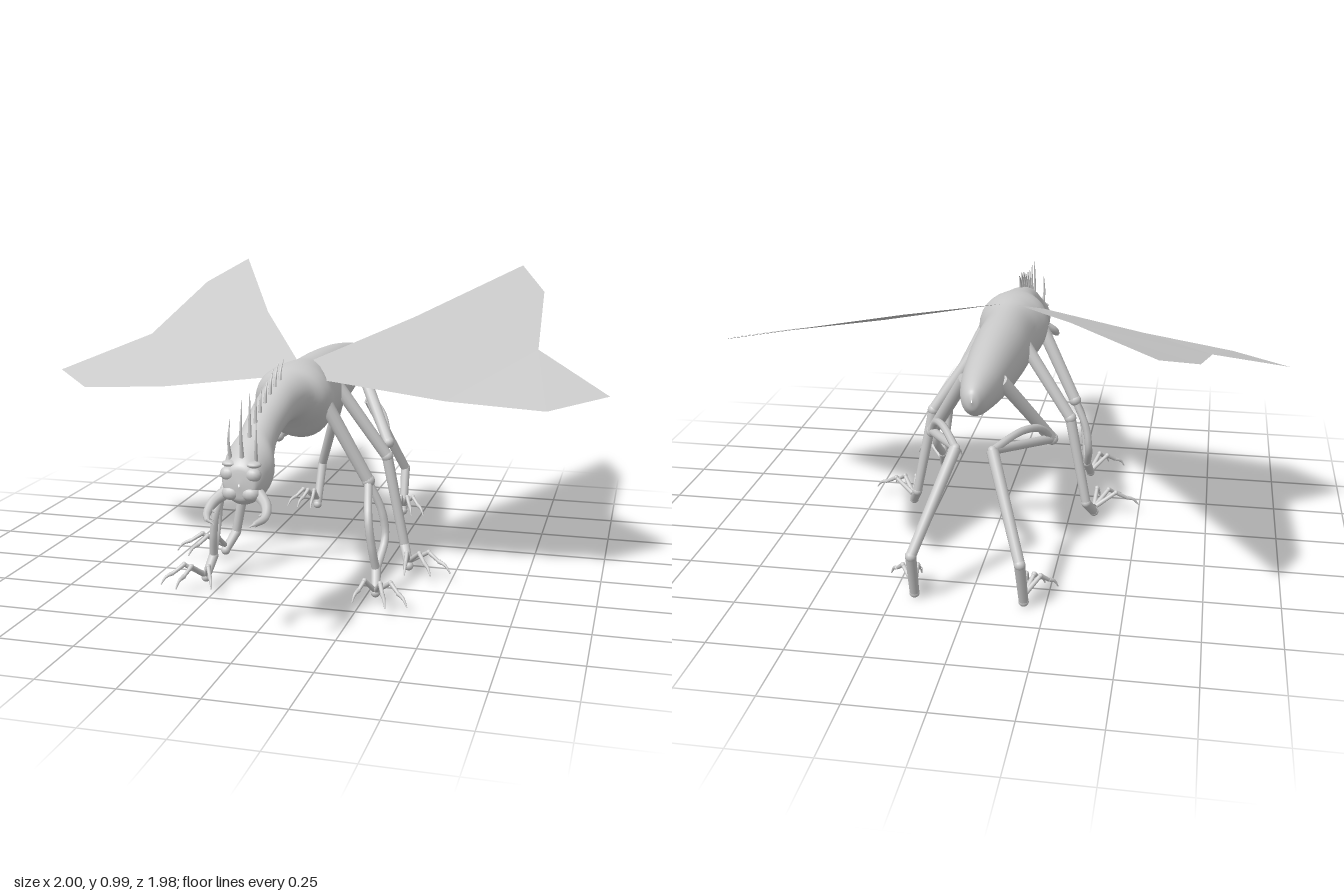
import * as THREE from 'three';

const grey = new THREE.MeshStandardMaterial({ color: 0xcccccc });
const thin = new THREE.MeshStandardMaterial({ color: 0xcccccc, side: THREE.DoubleSide, flatShading: true });
const V = (x, y, z) => new THREE.Vector3(x, y, z);

function add(parent, name, geometry, material = grey) {
  const mesh = new THREE.Mesh(geometry, material);
  mesh.name = name;
  parent.add(mesh);
  return mesh;
}

// Round bar between two points
function bar(parent, name, a, b, r0, r1 = r0) {
  const mesh = add(parent, name, new THREE.CylinderGeometry(r1, r0, a.distanceTo(b), 12));
  mesh.position.copy(a).add(b).multiplyScalar(0.5);
  mesh.quaternion.setFromUnitVectors(V(0, 1, 0), b.clone().sub(a).normalize());
}

function ball(parent, name, p, r, sx = 1, sy = 1, sz = 1) {
  const mesh = add(parent, name, new THREE.SphereGeometry(r, 14, 10));
  mesh.position.copy(p);
  mesh.scale.set(sx, sy, sz);
}

// Curved tube whose radius runs from r0 to r1
function taper(parent, name, points, r0, r1, segments = 10) {
  const curve = new THREE.CatmullRomCurve3(points), sides = 8;
  const geo = new THREE.TubeGeometry(curve, segments, 1, sides);
  const pos = geo.attributes.position, p = new THREE.Vector3();
  for (let i = 0; i < pos.count; i++) {
    const t = Math.floor(i / (sides + 1)) / segments, c = curve.getPointAt(t);
    p.fromBufferAttribute(pos, i).sub(c).multiplyScalar(r0 + (r1 - r0) * t).add(c);
    pos.setXYZ(i, p.x, p.y, p.z);
  }
  add(parent, name, geo);
}

// Smooth skin over elliptical sections: [z, top, bottom, half width]
function bodyGeometry(rows, steps = 90, sides = 32) {
  const mid = new THREE.CatmullRomCurve3(rows.map(r => V(r[0], (r[1] + r[2]) / 2, 0)), false, 'centripetal');
  const size = new THREE.CatmullRomCurve3(rows.map(r => V(r[0], (r[1] - r[2]) / 2, r[3])), false, 'centripetal');
  const pos = [], index = [];
  for (let i = 0; i <= steps; i++) {
    const c = mid.getPoint(i / steps), s = size.getPoint(i / steps);
    for (let j = 0; j < sides; j++) {
      const a = j / sides * Math.PI * 2;
      pos.push(Math.cos(a) * Math.max(s.z, 0.001), c.y + Math.sin(a) * Math.max(s.y, 0.001), c.x);
      if (i === steps) continue;
      const p = i * sides + j, q = i * sides + (j + 1) % sides;
      index.push(p, q, p + sides, q, q + sides, p + sides);
    }
  }
  const geo = new THREE.BufferGeometry();
  geo.setAttribute('position', new THREE.Float32BufferAttribute(pos, 3));
  geo.setIndex(index);
  geo.computeVertexNormals();
  return geo;
}

// Clawed toes: arched and ending in a hooked tip
function toes(parent, foot, spreads) {
  for (const [dx, dz] of spreads) {
    const at = (t, y) => V(foot.x + dx * t, y, foot.z + dz * t);
    const a = at(0.05, 0.05), b = at(0.48, 0.095), c = at(0.72, 0.07);
    bar(parent, 'toe', a, b, 0.009, 0.007);
    ball(parent, 'toeKnuckle', b, 0.009);
    bar(parent, 'toe', b, c, 0.008, 0.006);
    taper(parent, 'claw', [c, at(0.88, 0.06), at(1, 0.035)], 0.008, 0.002, 6);
  }
}

function leg(parent, name, joints, radii, spreads, s) {
  const g = new THREE.Group();
  g.name = name;
  parent.add(g);
  const p = joints.map(j => V(j[0] * s, j[1], j[2]));
  for (let i = 0; i < p.length - 1; i++) {
    if (radii[i]) bar(g, name + 'Segment', p[i], p[i + 1], radii[i], radii[i] * 0.88);
    ball(g, name + 'Joint', p[i + 1], (radii[i] || 0.018) * 0.95);
  }
  toes(g, p[p.length - 1], spreads.map(([x, z]) => [x * s, z]));
  return { g, p };
}

export function createModel() {
  const model = new THREE.Group();
  model.name = 'wingedCreature';

  // Abdomen, thorax, neck and head in one skin
  add(model, 'body', bodyGeometry([
    [-0.545, 0.675, 0.665, 0.002], [-0.535, 0.7, 0.635, 0.022], [-0.5, 0.718, 0.605, 0.042],
    [-0.4, 0.737, 0.582, 0.064], [-0.2, 0.76, 0.548, 0.085], [0, 0.77, 0.528, 0.098],
    [0.18, 0.773, 0.512, 0.102], [0.26, 0.778, 0.515, 0.118], [0.32, 0.778, 0.535, 0.13],
    [0.37, 0.774, 0.575, 0.118], [0.42, 0.766, 0.605, 0.085], [0.5, 0.752, 0.612, 0.066],
    [0.6, 0.726, 0.6, 0.06], [0.7, 0.69, 0.56, 0.056], [0.76, 0.66, 0.495, 0.062],
    [0.8, 0.638, 0.455, 0.076], [0.84, 0.615, 0.445, 0.07], [0.88, 0.59, 0.452, 0.06],
    [0.9, 0.565, 0.47, 0.045], [0.905, 0.52, 0.51, 0.002],
  ]));

  // Crest of backward-curving spines
  const crest = [[0.8, 0.635, 0.13], [0.745, 0.66, 0.1], [0.7, 0.685, 0.08], [0.65, 0.705, 0.07],
    [0.6, 0.722, 0.075], [0.55, 0.735, 0.075], [0.5, 0.747, 0.065]];
  crest.forEach(([z, y, h], i) => {
    const lean = 0.005 + i * 0.008;
    taper(model, 'spine', [V(0, y - 0.01, z), V(0, y + h * 0.55, z - lean * 0.35), V(0, y + h, z - lean)], 0.007, 0.001);
  });
  taper(model, 'browSpine', [V(0, 0.57, 0.87), V(0, 0.67, 0.882), V(0, 0.76, 0.868)], 0.008, 0.001);

  for (const s of [1, -1]) {
    // Face
    ball(model, 'eye', V(0.038 * s, 0.545, 0.887), 0.025, 1, 0.85, 0.8);
    ball(model, 'brow', V(0.036 * s, 0.573, 0.877), 0.02, 1.2, 0.5, 1);
    ball(model, 'cheek', V(0.03 * s, 0.488, 0.888), 0.028, 1, 0.8, 0.8);
    taper(model, 'headSpine', [V(0.038 * s, 0.57, 0.86), V(0.042 * s, 0.64, 0.87), V(0.04 * s, 0.7, 0.86)], 0.007, 0.001);

    // Mandible with inner teeth
    const jaw = [V(0.05 * s, 0.485, 0.875), V(0.08 * s, 0.46, 0.9), V(0.088 * s, 0.435, 0.935), V(0.07 * s, 0.425, 0.982)];
    taper(model, 'mandible', jaw, 0.02, 0.008, 16);
    [[0.086, 0.445, 0.92], [0.085, 0.432, 0.945], [0.075, 0.427, 0.97]].forEach(([x, y, z]) =>
      bar(model, 'mandibleTooth', V(x * s, y, z), V((x - 0.022) * s, y - 0.012, z + 0.006), 0.008, 0.001));

    // Wing: a fan of flat panels
    const rim = [[0.03, 0.77, 0.2], [0.28, 0.86, -0.28], [0.59, 0.99, -0.99], [0.7, 0.91, -0.77], [0.735, 0.765, -0.24],
      [1, 0.655, 0], [0.81, 0.635, 0.205], [0.49, 0.665, 0.27], [0.1, 0.725, 0.325]];
    const wing = new THREE.BufferGeometry();
    wing.setAttribute('position', new THREE.Float32BufferAttribute(rim.flatMap(([x, y, z]) => [x * s, y, z]), 3));
    wing.setIndex([0, 1, 4, 1, 2, 3, 1, 3, 4, 0, 4, 7, 4, 5, 6, 4, 6, 7, 0, 7, 8]
      .map((v, i, all) => s > 0 ? all[i - i % 3 + 2 - i % 3] : v));
    wing.computeVertexNormals();
    add(model, 'wing', wing, thin);

    // Front leg, its forearm split into two bowed bones
    const front = leg(model, 'frontLeg',
      [[0.1, 0.66, 0.33], [0.24, 0.385, 0.28], [0.285, 0.1, 0.35], [0.295, 0.04, 0.4]],
      [0.024, 0, 0.017], [[0.125, 0.1], [0.06, 0.13], [-0.055, 0.1]], s);
    for (const [x, z] of [[0.262, 0.372], [0.285, 0.268]])
      taper(front.g, 'forearmBone', [front.p[1], V(x * s, 0.28, z), V((x + 0.012) * s, 0.19, z + 0.002), front.p[2]], 0.014, 0.014, 14);

    // Middle leg
    leg(model, 'middleLeg',
      [[0.08, 0.66, 0.07], [0.25, 0.41, 0.03], [0.315, 0.085, 0.02], [0.34, 0.028, 0.07]],
      [0.023, 0.019, 0.018], [[0.16, 0.07], [0.1, 0.12], [0.01, 0.13]], s);

    // Rear leg, folded, with a second arched bone in the middle section
    const rear = leg(model, 'rearLeg',
      [[0.06, 0.67, -0.34], [0.21, 0.41, -0.175], [0.06, 0.495, -0.51], [0.175, 0.185, -0.68], [0.18, 0.022, -0.62]],
      [0.023, 0.016, 0.02, 0.018], [[0.1, 0.095], [0.055, 0.11], [0, 0.11]], s);
    taper(rear.g, 'archedBone', [rear.p[1], V(0.18 * s, 0.475, -0.25), V(0.13 * s, 0.505, -0.36), rear.p[2]], 0.013, 0.013, 14);
  }
  return model;
}
